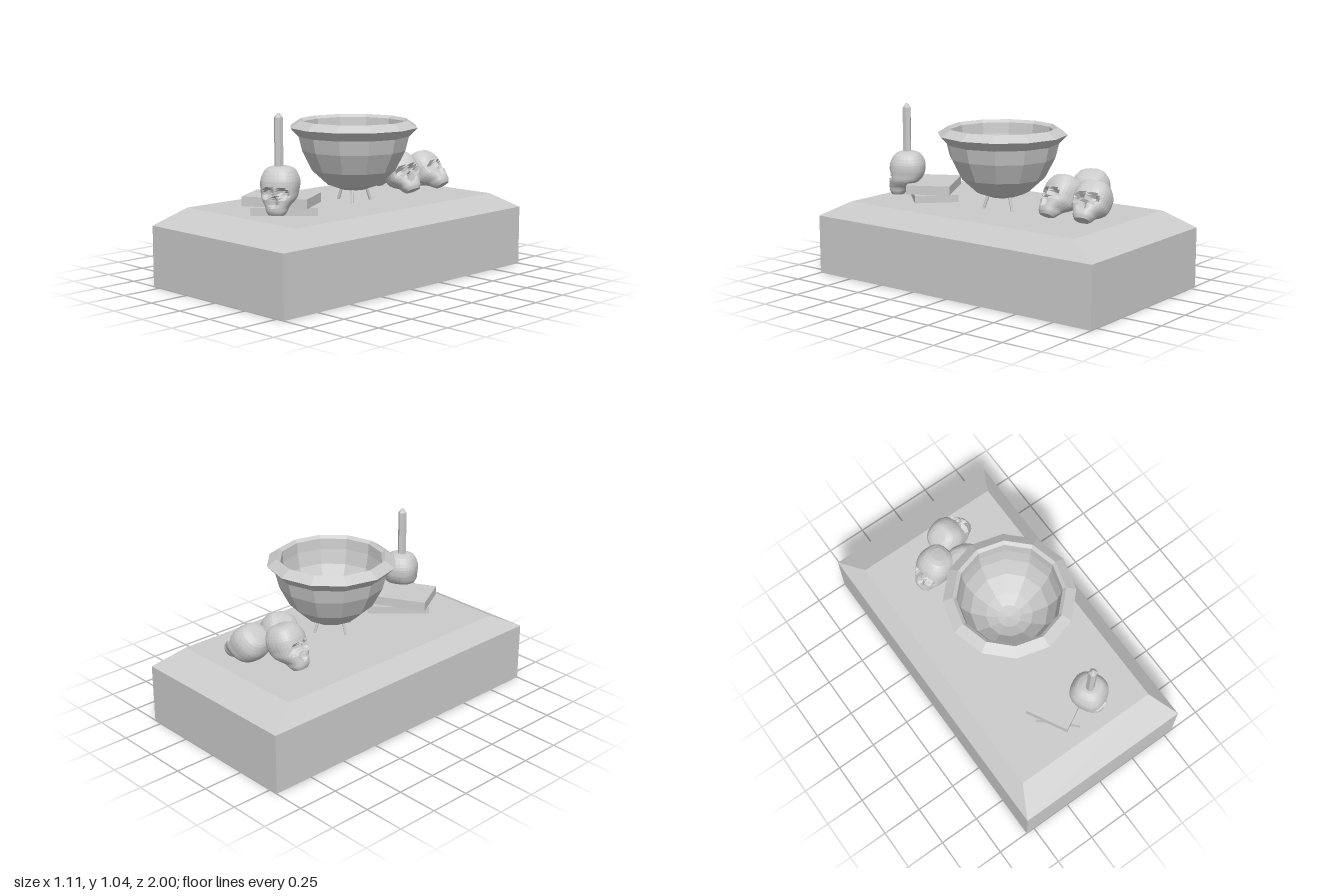
import * as THREE from 'three';

const grey = new THREE.MeshStandardMaterial({ color: 0xcccccc, flatShading: true });

function add(parent, name, geometry, x = 0, y = 0, z = 0) {
  const mesh = new THREE.Mesh(geometry, grey);
  mesh.name = name;
  mesh.position.set(x, y, z);
  parent.add(mesh);
  return mesh;
}

// Slab whose top is bevelled inward
function slabGeometry() {
  const geo = new THREE.BoxGeometry(1.11, 0.455, 2, 1, 2, 1);
  const p = geo.attributes.position;
  for (let i = 0; i < p.count; i++) {
    const y = p.getY(i);
    if (y > 0.1) p.setXYZ(i, Math.sign(p.getX(i)) * 0.46, 0.455, Math.sign(p.getZ(i)) * 0.82);
    else p.setY(i, y < -0.1 ? 0 : 0.36);
  }
  return geo;
}

// Skull facing +z: rounded cross-sections from crown to chin, then sockets pressed in
function skullGeometry() {
  // y, back z, front z, half width
  const sections = [
    0.135, -0.05, 0.035, 0.045,
    0.118, -0.086, 0.07, 0.08,
    0.07, -0.112, 0.096, 0.104,
    0.03, -0.114, 0.102, 0.107,
    0.0, -0.108, 0.104, 0.103,
    -0.035, -0.09, 0.104, 0.098,
    -0.06, -0.062, 0.104, 0.084,
    -0.085, -0.025, 0.106, 0.066,
    -0.11, -0.002, 0.103, 0.058,
    -0.13, 0.015, 0.092, 0.046,
  ];
  const count = sections.length / 4, rows = 25, sides = 32;
  const times = Array.from({ length: count }, (_, i) => i);
  const spline = new THREE.CubicInterpolant(times, sections, 4);
  const press = (d) => THREE.MathUtils.smoothstep(1 - d, 0, 0.55);
  const pos = [], index = [];
  for (let r = 0; r < rows; r++) {
    const [y, back, front, w] = spline.evaluate((r / (rows - 1)) * (count - 1));
    for (let s = 0; s < sides; s++) {
      const a = (s / sides) * Math.PI * 2;
      const round = (v) => Math.sign(v) * Math.abs(v) ** 0.8;
      const x = round(Math.sin(a)) * w;
      let z = (front + back) / 2 + round(Math.cos(a)) * (front - back) / 2;
      if (Math.cos(a) > 0) {
        const slope = (Math.abs(x) - 0.046) * 0.25;
        const eye = press(Math.hypot((Math.abs(x) - 0.046) / 0.036, (y + 0.006 + slope) / 0.036));
        const noseWidth = 0.014 + Math.max(0, -0.02 - y) * 0.3;
        const nose = press(Math.hypot(x / noseWidth, (y + 0.053) / 0.036));
        z -= 0.042 * eye + 0.03 * nose;
      }
      pos.push(x, y, z);
      if (r < rows - 1) {
        const i = r * sides + s, j = r * sides + (s + 1) % sides;
        index.push(i, i + sides, j, j, i + sides, j + sides);
      }
    }
  }
  // Crown and chin caps
  const crown = pos.length / 3;
  pos.push(0, 0.138, -0.008, 0, -0.132, 0.055);
  for (let s = 0; s < sides; s++) {
    const n = (s + 1) % sides, last = (rows - 1) * sides;
    index.push(crown, s, n, crown + 1, last + n, last + s);
  }
  const geo = new THREE.BufferGeometry();
  geo.setAttribute('position', new THREE.Float32BufferAttribute(pos, 3));
  geo.setIndex(index);
  geo.computeVertexNormals();
  return geo;
}

export function createModel() {
  const model = new THREE.Group();
  model.name = 'altarWithBowlAndSkulls';

  add(model, 'slab', slabGeometry());

  // Faceted bowl with flared rim and hollow inside
  const profile = [
    [0, 0.52], [0.08, 0.53], [0.157, 0.558], [0.254, 0.647], [0.314, 0.765], [0.335, 0.85],
    [0.385, 0.902], [0.325, 0.942], [0.305, 0.925], [0.3, 0.86], [0.282, 0.77],
    [0.23, 0.67], [0.14, 0.59], [0.07, 0.56], [0, 0.55],
  ].map(([r, y]) => new THREE.Vector2(r, y));
  const bowl = new THREE.Group();
  bowl.name = 'bowlOnLegs';
  bowl.position.set(0.057, 0, -0.03);
  model.add(bowl);
  add(bowl, 'bowl', new THREE.LatheGeometry(profile, 12));

  // Three thin splayed legs
  for (const degrees of [39, 159, 279]) {
    const a = THREE.MathUtils.degToRad(degrees);
    const at = (r, y) => new THREE.Vector3(Math.sin(a) * r, y, Math.cos(a) * r);
    const path = new THREE.LineCurve3(at(0.112, 0.452), at(0.08, 0.545));
    add(bowl, 'bowlLeg', new THREE.TubeGeometry(path, 1, 0.009, 6));
  }

  // Two stacked books
  add(model, 'lowerBook', new THREE.BoxGeometry(0.378, 0.045, 0.265), 0.043, 0.4775, 0.518).rotation.y = 0.81;
  add(model, 'upperBook', new THREE.BoxGeometry(0.387, 0.055, 0.267), 0.027, 0.5275, 0.525).rotation.y = 0.498;

  // Skulls: position, then pitch, yaw, roll
  const skull = skullGeometry();
  const skulls = [
    ['candleSkull', [0.145, 0.606, 0.645], [0, 0.48, 0]],
    ['nearSkull', [0.06, 0.568, -0.455], [-0.5, 1.15, 0.2]],
    ['farSkull', [0.07, 0.562, -0.67], [-0.65, 1.72, 0]],
    ['sideSkull', [-0.135, 0.582, -0.54], [-0.3, -1.4, 0]],
  ];
  for (const [name, at, [pitch, yaw, roll]] of skulls) {
    add(model, name, skull, ...at).rotation.set(pitch, yaw, roll, 'YXZ');
  }

  // Candle with a pointed tip
  add(model, 'candle', new THREE.CylinderGeometry(0.026, 0.026, 0.29, 6), 0.138, 0.867, 0.645);
  add(model, 'candleTip', new THREE.CylinderGeometry(0.007, 0.026, 0.024, 6), 0.138, 1.024, 0.645);

  return model;
}
